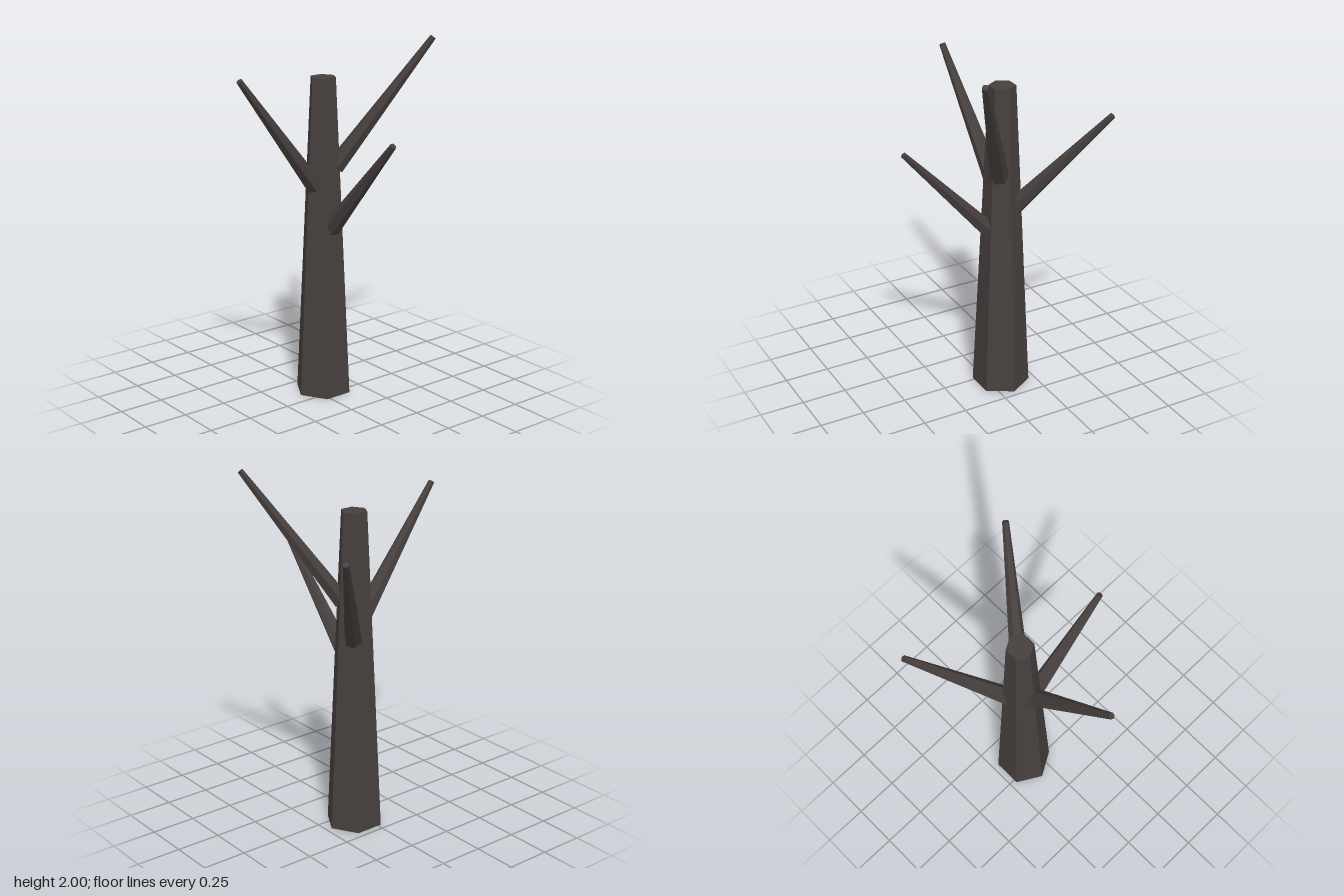
import * as THREE from 'three';

export function createModel() {
  const group = new THREE.Group();
  const bark = new THREE.MeshStandardMaterial({ color: 0x463f3d, flatShading: true });
  bark.name = 'darkBark';

  // Six-sided tapered limb running from one point to another
  function limb(name, from, to, baseRadius, tipRadius) {
    const a = new THREE.Vector3(...from);
    const b = new THREE.Vector3(...to);
    const dir = b.clone().sub(a);
    const mesh = new THREE.Mesh(
      new THREE.CylinderGeometry(tipRadius, baseRadius, dir.length(), 6), bark);
    mesh.name = name;
    mesh.position.copy(a).add(b).multiplyScalar(0.5);
    mesh.quaternion.setFromUnitVectors(new THREE.Vector3(0, 1, 0), dir.normalize());
    group.add(mesh);
  }

  // Trunk
  limb('trunk', [-0.077, 0, -0.059], [-0.077, 1.78, -0.059], 0.158, 0.072);

  // Bare branches: name, base centre, tip centre
  const branches = [
    ['leftBranch', [-0.008, 0.958, -0.059], [0.493, 1.51, -0.06]],
    ['frontBranch', [-0.07, 1.192, 0.005], [-0.028, 1.83, 0.514]],
    ['backLeftBranch', [-0.037, 1.29, -0.109], [0.274, 1.99, -0.516]],
    ['backRightBranch', [-0.124, 1.09, -0.101], [-0.499, 1.67, -0.45]],
  ];
  for (const [name, from, to] of branches) limb(name, from, to, 0.05, 0.017);

  return group;
}
